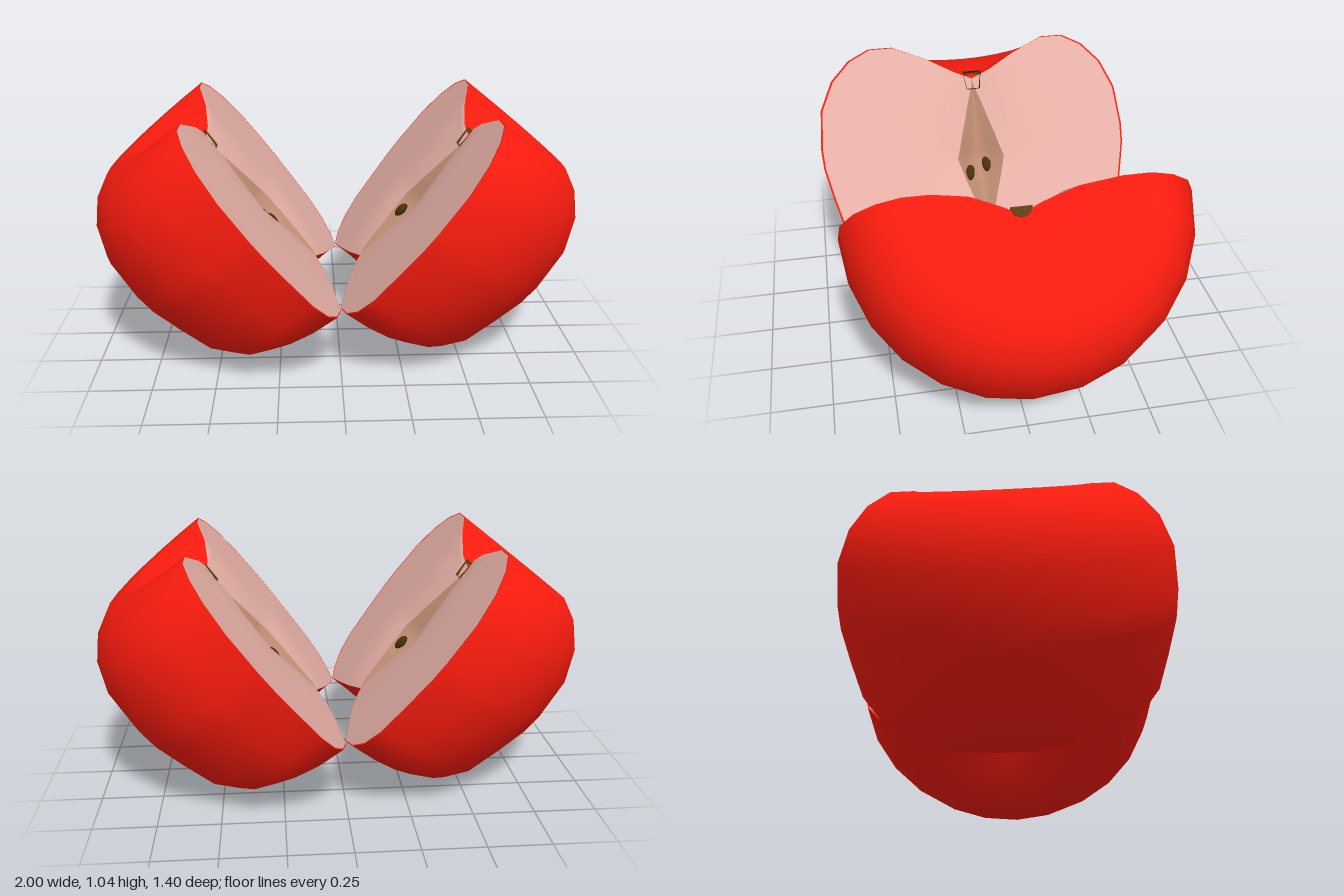
import * as THREE from 'three';

const { lerp, clamp } = THREE.MathUtils;
const paint = (color) => new THREE.MeshStandardMaterial({ color, side: THREE.DoubleSide });
const RED = paint(0xff1c0e), FLESH = paint(0xe6b0a6), CORE = paint(0xbd8b70);
const SEED = paint(0x4a300f), STEM = paint(0x5a3f14);

// Fruit outline from bottom dimple to top dimple: [radius, height]
const PROFILE = [
  [0, 0.13], [0.1, 0.085], [0.2, 0.05], [0.36, 0], [0.46, 0.03], [0.55, 0.09], [0.61, 0.18],
  [0.645, 0.32], [0.675, 0.46], [0.68, 0.55], [0.665, 0.72], [0.61, 0.845], [0.53, 0.93],
  [0.44, 0.976], [0.34, 0.976], [0.2, 0.914], [0.08, 0.85], [0, 0.82],
];
const ROWS = PROFILE.length - 1;
const AXIS_LOW = 0.13, AXIS_LENGTH = 0.69;

// The fruit is a little fuller towards -z
const fullness = (sine) => 1 - 0.033 * sine;

// Half width of the core along the axis (f from 0 to 1)
function coreWidth(f) {
  const d = Math.abs(f - 0.47);
  if (d < 0.2) return lerp(0.105, 0.055, d / 0.2);
  return Math.max(0, lerp(0.055, 0, (d - 0.2) / 0.3));
}

// How far the cut surface sinks towards the core
function sink(y, z) {
  const f = clamp((y - AXIS_LOW) / AXIS_LENGTH, 0, 1);
  const c = coreWidth(f), a = Math.abs(z), edge = 0.015 + 0.04 * f;
  if (a < c) return lerp(edge + 0.9 * c, edge, a / c);
  return edge * Math.max(0, 1 - (a - c) / 0.15);
}

// A grid surface whose vertices come from point(column, row)
function surface(name, columns, material, point) {
  const geometry = new THREE.PlaneGeometry(1, 1, columns, ROWS);
  const pos = geometry.attributes.position;
  for (let i = 0; i < pos.count; i++) {
    const column = i % (columns + 1);
    const row = ROWS - Math.floor(i / (columns + 1));
    pos.setXYZ(i, ...point(column, row));
  }
  geometry.computeVertexNormals();
  const mesh = new THREE.Mesh(geometry, material);
  mesh.name = name;
  return mesh;
}

// Point on the cut surface; s is 0 at the core edge and 1 at the skin
function cutPoint(row, side, s, fromAxis = false) {
  const f = row / ROWS;
  const [r0, top] = PROFILE[row];
  const r = r0 * fullness(side);
  const c = Math.min(r, coreWidth(f));
  const a = fromAxis ? c * s : lerp(c, r, s);
  const y = lerp(AXIS_LOW + AXIS_LENGTH * f, top, r > 0 ? a / r : 0);
  return [sink(y, a), y, side * a];
}

function createHalf() {
  const half = new THREE.Group();

  // Rounded skin
  const segments = 12;
  half.add(surface('skin', segments, RED, (column, row) => {
    const angle = Math.PI * (0.5 - column / segments);
    const [r0, y] = PROFILE[row];
    const r = r0 * fullness(Math.sin(angle));
    const z = r * Math.sin(angle);
    return [Math.max(r * Math.cos(angle), sink(y, z)), y, z];
  }));

  // Flesh with a thin skin rim on both sides of the core
  const steps = [0, 0.12, 0.26, 0.5, 0.75, 0.987];
  const last = steps.length - 1;
  for (const side of [1, -1]) {
    half.add(surface('flesh', last, FLESH, (column, row) =>
      cutPoint(row, side, steps[side > 0 ? column : last - column])));
    half.add(surface('skinRim', 1, RED, (column, row) =>
      cutPoint(row, side, (side > 0) === (column === 0) ? 0.987 : 1)));
  }

  // Hollow core
  half.add(surface('core', 4, CORE, (column, row) => {
    const s = column / 2 - 1;
    return cutPoint(row, s < 0 ? -1 : 1, Math.abs(s), true);
  }));

  // Seeds
  for (const [y, z, tilt] of [[0.39, -0.055, 0.2], [0.425, 0.03, -0.2]]) {
    const seed = new THREE.Mesh(new THREE.SphereGeometry(0.021, 10, 8), SEED);
    seed.scale.set(0.9, 1.75, 1);
    seed.position.set(sink(y, z) - 0.006, y, z);
    seed.rotation.x = tilt;
    seed.name = 'seed';
    half.add(seed);
  }

  // Halved stem stub in the top dimple
  const stem = new THREE.Mesh(
    new THREE.CylinderGeometry(0.042, 0.03, 0.08, 4, 1, false, 0, Math.PI), STEM);
  stem.position.set(0.035, 0.81, 0);
  stem.name = 'stem';
  half.add(stem);
  return half;
}

export function createModel() {
  const model = new THREE.Group();
  model.name = 'halvedApple';
  // Two halves leaning apart, each the other turned half way round
  ['leftHalf', 'rightHalf'].forEach((name, i) => {
    const half = createHalf();
    half.position.y = 0.255;
    half.rotation.z = -0.662;
    const turn = new THREE.Group();
    turn.name = name;
    turn.rotation.y = i * Math.PI;
    turn.add(half);
    model.add(turn);
  });
  return model;
}
